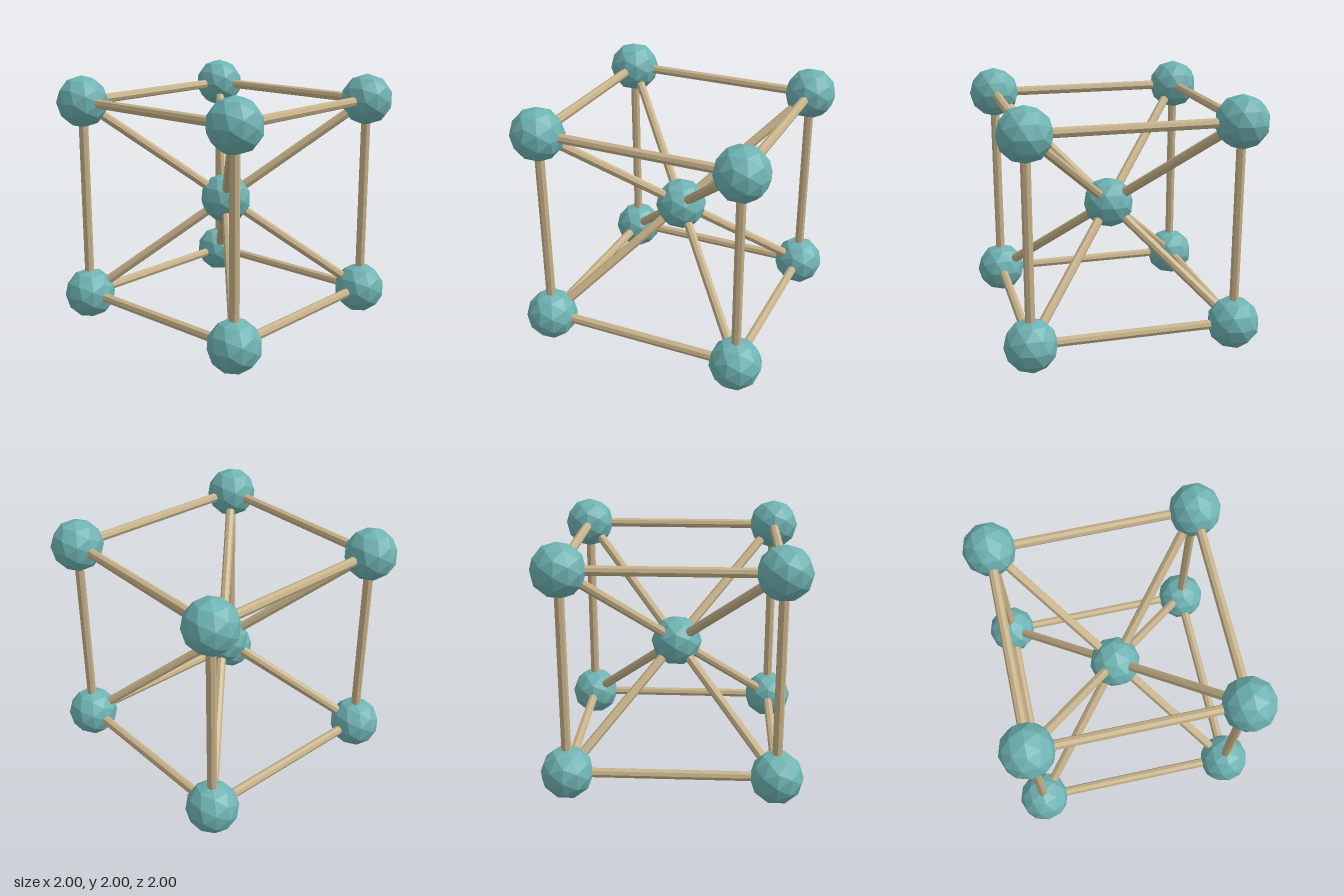
import * as THREE from 'three';

const HALF = 0.7955; // distance from the middle to each corner ball, per axis
const BALL = 0.2045;
const ROD = 0.0375;

export function createModel() {
  const model = new THREE.Group();
  model.name = 'bodyCentredCubicLattice';

  const teal = new THREE.MeshStandardMaterial({ color: 0x6fb3b3, flatShading: true });
  teal.name = 'teal';
  const tan = new THREE.MeshStandardMaterial({ color: 0xc8b38a, flatShading: true });
  tan.name = 'tan';

  const ballGeometry = new THREE.IcosahedronGeometry(BALL, 1);
  const up = new THREE.Vector3(0, 1, 0);

  function addBall(name, position) {
    const ball = new THREE.Mesh(ballGeometry, teal);
    ball.name = name;
    ball.position.copy(position);
    model.add(ball);
  }

  // Rod running between two ball centres
  function addRod(name, from, to) {
    const span = to.clone().sub(from);
    const rod = new THREE.Mesh(new THREE.CylinderGeometry(ROD, ROD, span.length(), 8), tan);
    rod.name = name;
    rod.position.copy(from).add(to).multiplyScalar(0.5);
    rod.quaternion.setFromUnitVectors(up, span.normalize());
    model.add(rod);
  }

  // Centre ball, with a corner ball and a diagonal rod in each direction
  const centre = new THREE.Vector3(0, 1, 0);
  addBall('centreBall', centre);
  const corners = [];
  for (const x of [-1, 1]) for (const y of [-1, 1]) for (const z of [-1, 1]) {
    const corner = new THREE.Vector3(x, y, z).multiplyScalar(HALF).add(centre);
    corners.push(corner);
    addBall('cornerBall', corner);
    addRod('diagonalRod', centre, corner);
  }

  // Cube edges join corners that differ along a single axis
  for (let i = 0; i < 8; i++) {
    for (const bit of [1, 2, 4]) {
      if (!(i & bit)) addRod('edgeRod', corners[i], corners[i | bit]);
    }
  }
  return model;
}
